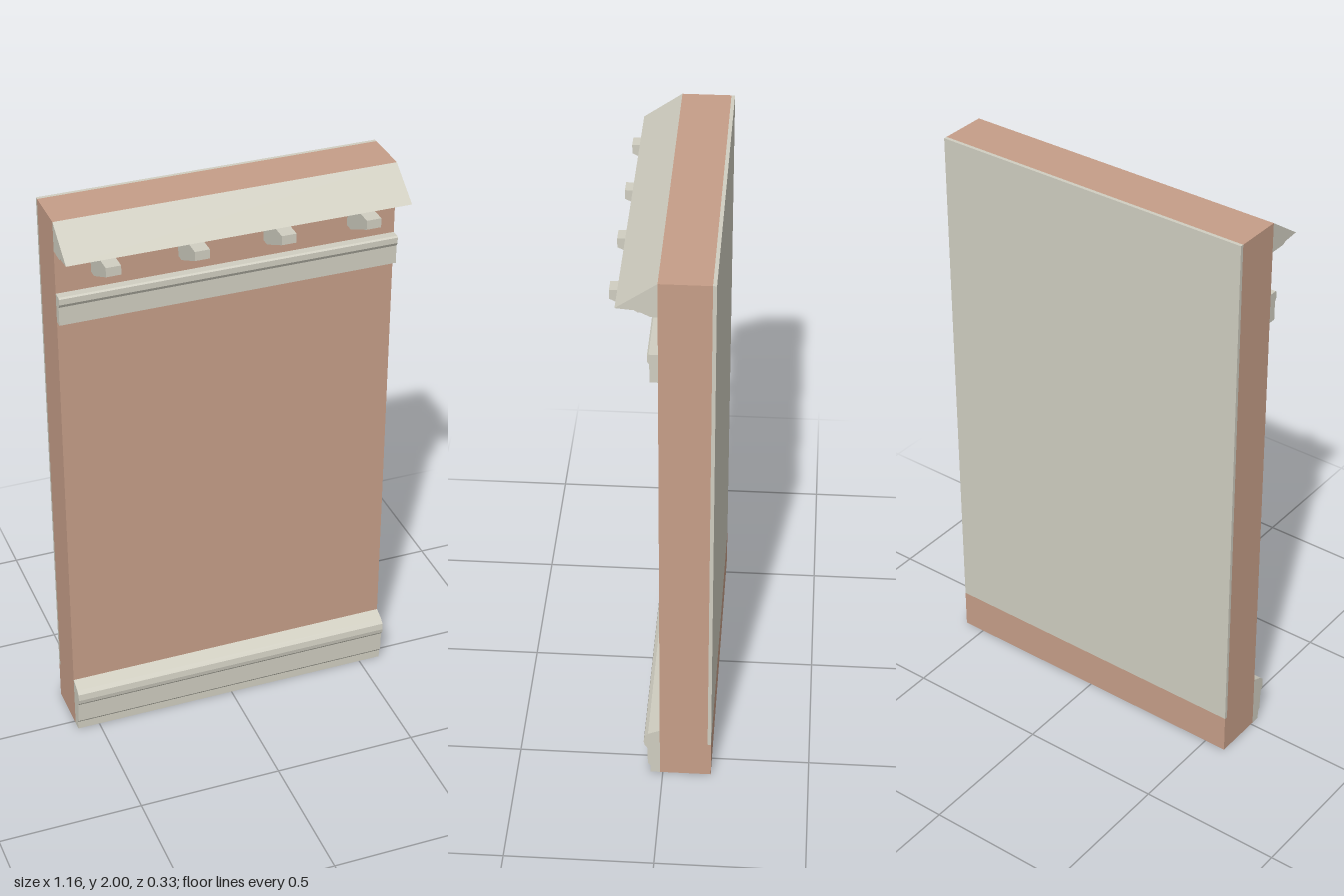
import * as THREE from 'three';

const WIDTH = 1.156;
const FACE = 0.01; // z of the wall's front face
const BACK = -0.165;

const terracotta = new THREE.MeshStandardMaterial({ color: 0xc69e88 });
terracotta.name = 'terracotta wall';
const stone = new THREE.MeshStandardMaterial({ color: 0xd0cec1 });
stone.name = 'pale stone';

// Sweeps a [z, y] profile along x, centred on the given x
function sweep(name, points, width, material, x = 0) {
  const shape = new THREE.Shape(points.map(([z, y]) => new THREE.Vector2(z, y)));
  const geometry = new THREE.ExtrudeGeometry(shape, { depth: width, bevelEnabled: false });
  geometry.rotateY(-Math.PI / 2).translate(x + width / 2, 0, 0);
  const mesh = new THREE.Mesh(geometry, material);
  mesh.name = name;
  return mesh;
}

export function createModel() {
  const group = new THREE.Group();
  group.name = 'wallPanel';

  // Wall with a rebate in its back, filled by the backing plate
  group.add(sweep('wall', [
    [FACE, 0], [FACE, 2], [-0.153, 2], [-0.153, 0.14], [BACK, 0.14], [BACK, 0],
  ], WIDTH, terracotta));
  group.add(sweep('backingPlate', [
    [-0.153, 0.14], [-0.153, 2], [BACK, 2], [BACK, 0.14],
  ], WIDTH, stone));

  // Sloping cornice
  group.add(sweep('cornice', [
    [FACE, 2], [FACE, 1.898], [0.07, 1.898], [0.08, 1.905], [0.138, 1.91],
  ], WIDTH, stone));

  // Brackets under the cornice
  for (const x of [-0.435, -0.145, 0.145, 0.435]) {
    group.add(sweep('bracket', [
      [FACE, 1.896], [FACE, 1.803], [0.04, 1.803], [0.165, 1.864], [0.165, 1.896],
    ], 0.05, stone, x));
  }

  // Upper band moulding
  group.add(sweep('upperMoulding', [
    [FACE, 1.747], [FACE, 1.645], [0.036, 1.645], [0.036, 1.71], [0.043, 1.722], [0.043, 1.742], [0.038, 1.747],
  ], WIDTH, stone));

  // Skirting at the foot
  group.add(sweep('baseMoulding', [
    [FACE, 0.195], [FACE, 0], [0.042, 0], [0.042, 0.03], [0.051, 0.041], [0.053, 0.115],
    [0.062, 0.126], [0.065, 0.142], [0.062, 0.165], [0.05, 0.178],
  ], WIDTH, stone));

  return group;
}
